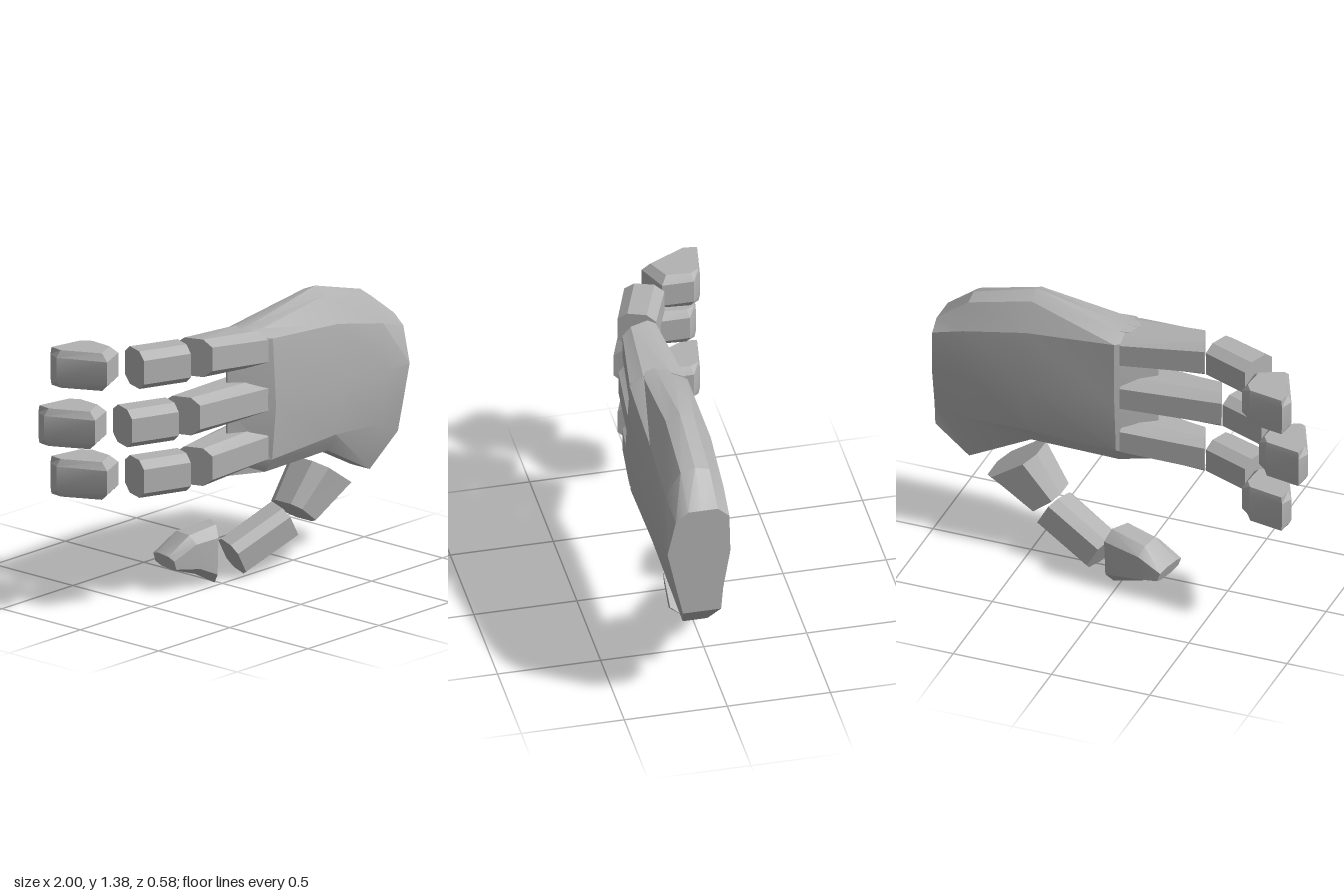
import * as THREE from 'three';
import { toCreasedNormals } from 'three/addons/utils/BufferGeometryUtils.js';

const shell = new THREE.MeshStandardMaterial({ color: 0xb2b2b2 });
shell.name = 'grey shell';

// Joins equal-sized rings of [x, y, z] points into a closed solid
function loft(name, rings) {
  const n = rings[0].length;
  const pts = rings.flat();
  const index = [];
  for (let r = 0; r < rings.length - 1; r++) {
    for (let i = 0; i < n; i++) {
      const a = r * n + i, b = r * n + (i + 1) % n;
      index.push(a, b, b + n, a, b + n, a + n);
    }
  }
  const last = (rings.length - 1) * n;
  for (let i = 1; i < n - 1; i++) {
    index.push(0, i + 1, i, last, last + i, last + i + 1);
  }
  // Turn the faces outward when the enclosed volume is negative
  let volume = 0;
  const v = pts.map((p) => new THREE.Vector3(...p));
  for (let i = 0; i < index.length; i += 3) {
    const cross = v[index[i + 1]].clone().cross(v[index[i + 2]]);
    volume += v[index[i]].dot(cross);
  }
  if (volume < 0) index.reverse();
  const geometry = new THREE.BufferGeometry();
  geometry.setAttribute('position', new THREE.Float32BufferAttribute(pts.flat(), 3));
  geometry.setIndex(index);
  const mesh = new THREE.Mesh(toCreasedNormals(geometry.toNonIndexed(), 0.42), shell);
  mesh.name = name;
  return mesh;
}

// Chamfered rectangle around a centre, spanned by half-vectors u and v
function octagon(c, u, v) {
  const a = 0.63, b = 0.5;
  const corners = [[1, b], [a, 1], [-a, 1], [-1, b], [-1, -b], [-a, -1], [a, -1], [1, -b]];
  return corners.map(([s, t]) => c.map((k, i) => k + s * u[i] + t * v[i]));
}

function createPalm() {
  // Cross-sections as [z, y], from the knuckle edge to the wrist
  const sections = [
    [-0.1, [[0.12, 1.28], [0.123, 1.275], [0.125, 1.25], [0.125, 0.92], [0.125, 0.65], [0.123, 0.58],
      [0.117, 0.58], [0.115, 0.65], [0.115, 0.92], [0.115, 1.25], [0.117, 1.275]]],
    [0.07, [[0.12, 1.29], [0.19, 1.285], [0.26, 1.25], [0.28, 0.92], [0.255, 0.65], [0.21, 0.58],
      [0.04, 0.58], [0, 0.65], [-0.02, 0.92], [-0.02, 1.25], [0.05, 1.285]]],
    [0.52, [[0.12, 1.38], [0.19, 1.35], [0.265, 1.22], [0.285, 0.92], [0.255, 0.67], [0.2, 0.58],
      [0.05, 0.58], [-0.01, 0.67], [-0.05, 0.92], [-0.03, 1.22], [0.05, 1.35]]],
    [0.84, [[0.12, 1.29], [0.19, 1.27], [0.265, 1.15], [0.29, 0.92], [0.25, 0.65], [0.18, 0.41],
      [0.06, 0.41], [0.01, 0.65], [-0.03, 0.92], [-0.02, 1.15], [0.05, 1.27]]],
    [1, [[0.12, 1.15], [0.19, 1.15], [0.25, 1.1], [0.29, 0.92], [0.25, 0.73], [0.215, 0.57],
      [0.03, 0.57], [0.02, 0.69], [-0.015, 0.9], [-0.01, 1.1], [0.045, 1.15]]],
  ];
  return loft('palm', sections.map(([x, ring]) => ring.map(([z, y]) => [x, y, z])));
}

// One finger: y of its knuckle and its tip, and how far it reaches out
function createFinger(name, knuckleY, y, reach) {
  const finger = new THREE.Group();
  finger.name = name;
  const up = [0, 0.093, 0];

  finger.add(loft('innerSegment', [
    octagon([0.045, knuckleY, 0.12], [0, 0.087, 0], [0, 0, 0.135]),
    octagon([-0.335 - reach, y, 0.122], up, [0.033, 0, 0.088]),
  ]));

  finger.add(loft('middleSegment', [
    octagon([-0.41 - reach, y, 0.115], up, [-0.033, 0, 0.086]),
    octagon([-0.645 - reach, y, 0.025], up, [-0.033, 0, 0.09]),
  ]));

  // Fingertip: an outline in [x, z] stacked in y with bevelled rims
  const outline = [[-0.81, 0], [-0.66, -0.065], [-0.66, -0.22], [-0.71, -0.26], [-0.89, -0.29], [-0.915, -0.23]];
  const inset = [0.25, 0.28, 0.2, 0.06, 0.03, 0.15];
  const levels = [[-0.093, 1], [-0.058, 0], [0.058, 0], [0.093, 1]];
  finger.add(loft('fingertip', levels.map(([h, rim]) => outline.map(([x, z], i) => {
    const k = rim * inset[i];
    return [x + (-0.78 - x) * k - reach, y + h, z + (-0.16 - z) * k];
  }))));
  return finger;
}

function createThumb() {
  const thumb = new THREE.Group();
  thumb.name = 'thumb';
  thumb.add(loft('thumbBase', [
    octagon([0.605, 0.44, 0.08], [0.125, -0.085, 0], [0, 0, 0.125]),
    octagon([0.43, 0.275, 0.065], [0.075, -0.06, 0], [0, 0, 0.1]),
  ]));
  thumb.add(loft('thumbMiddle', [
    octagon([0.395, 0.235, 0.035], [-0.045, 0.08, 0], [-0.025, -0.01, 0.09]),
    octagon([0.115, 0.1, -0.04], [-0.045, 0.08, 0], [-0.025, -0.01, 0.085]),
  ]));
  thumb.add(loft('thumbTip', [
    octagon([0.015, 0.143, -0.075], [0.005, 0.143, 0], [0.05, 0, -0.08]),
    octagon([-0.13, 0.16, -0.115], [-0.02, 0.1, 0], [0.015, 0, -0.095]),
    octagon([-0.255, 0.14, -0.135], [-0.012, 0.035, 0], [0.02, 0, -0.085]),
  ]));
  return thumb;
}

export function createModel() {
  const hand = new THREE.Group();
  hand.name = 'hand';
  hand.add(
    createPalm(),
    createFinger('upperFinger', 1.193, 1.222, 0),
    createFinger('middleFinger', 0.953, 0.953, 0.085),
    createFinger('lowerFinger', 0.713, 0.683, 0),
    createThumb(),
  );
  return hand;
}
